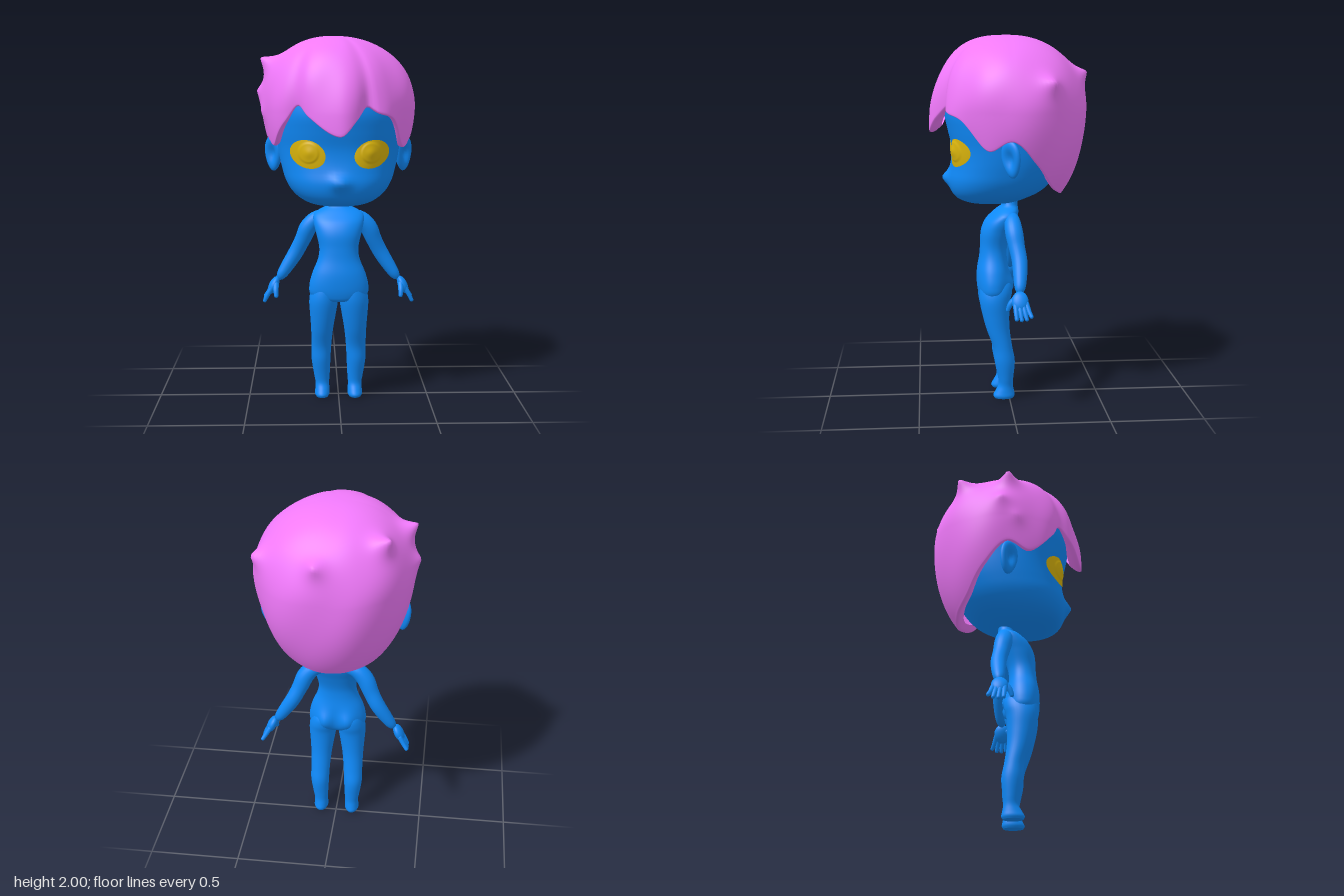
import * as THREE from 'three';
import { mergeVertices } from 'three/addons/utils/BufferGeometryUtils.js';

const material = (color) => new THREE.MeshStandardMaterial({ color, side: THREE.DoubleSide });
const skin = material(0x0f8afa), hairColor = material(0xf27afc), eyeColor = material(0xdcb60c);

// Smooth interpolation of table rows, keyed by their first entry
function sample(rows, v) {
  const n = rows.length;
  let i = 0;
  while (i < n - 2 && v > rows[i + 1][0]) i++;
  const a = rows[i], b = rows[i + 1], p = rows[Math.max(i - 1, 0)], q = rows[Math.min(i + 2, n - 1)];
  const h = b[0] - a[0], t = THREE.MathUtils.clamp((v - a[0]) / h, 0, 1);
  const t2 = t * t, t3 = t2 * t;
  return a.map((_, k) => {
    const m0 = (b[k] - p[k]) / (b[0] - p[0]), m1 = (q[k] - a[k]) / (q[0] - a[0]);
    return (2 * t3 - 3 * t2 + 1) * a[k] + (t3 - 2 * t2 + t) * h * m0
      + (3 * t2 - 2 * t3) * b[k] + (t3 - t2) * h * m1;
  });
}

// Weld seams and shade smoothly
function smooth(geo) {
  geo.deleteAttribute('uv');
  geo.deleteAttribute('normal');
  const welded = mergeVertices(geo, 1e-5);
  welded.computeVertexNormals();
  return welded;
}

// Surface from a rule: u runs upward, v runs around from +z towards +x
function surface(nu, nv, rule) {
  const pos = [], index = [];
  for (let i = 0; i <= nu; i++) for (let j = 0; j <= nv; j++) pos.push(...rule(i / nu, (j % nv) / nv));
  for (let i = 0; i < nu; i++) for (let j = 0; j < nv; j++) {
    const a = i * (nv + 1) + j, c = a + nv + 1;
    index.push(a, a + 1, c, a + 1, c + 1, c);
  }
  const geo = new THREE.BufferGeometry();
  geo.setAttribute('position', new THREE.Float32BufferAttribute(pos, 3));
  geo.setIndex(index);
  return smooth(geo);
}

const signedPow = (v, e) => Math.sign(v) * Math.abs(v) ** e;

// Stacked horizontal sections: [y, centre x, half width, front z, back z]
function loft(rows, nu, nv, exponent = 2, relief = () => 0) {
  const y0 = rows[0][0], y1 = rows[rows.length - 1][0];
  return surface(nu, nv, (u, v) => {
    const y = y0 + (y1 - y0) * (0.5 - 0.5 * Math.cos(Math.PI * u)), a = v * Math.PI * 2;
    const [, cx, w, zf, zb] = sample(rows, y);
    const closed = u === 0 || u === 1 ? 0 : 1, e = 2 / exponent;
    const x = cx + closed * w * signedPow(Math.sin(a), e);
    const z = (zf + zb) / 2 + closed * (zf - zb) / 2 * signedPow(Math.cos(a), e);
    return [x, y, z + closed * relief(x, y, Math.cos(a))];
  });
}

// Tube of changing thickness with rounded ends
function limb(points, radii, sides = 16) {
  const curve = new THREE.CatmullRomCurve3(points.map((p) => new THREE.Vector3(...p)));
  const n = 32, geo = new THREE.TubeGeometry(curve, n, 1, sides);
  const pos = geo.attributes.position, nor = geo.attributes.normal;
  const table = radii.map((r, i) => [i / (radii.length - 1), r]), p = new THREE.Vector3();
  for (let i = 0; i < pos.count; i++) {
    const u = Math.floor(i / (sides + 1)) / n;
    const end = Math.sqrt(Math.max(0, 1 - Math.max(0, 1 - Math.min(u, 1 - u) / 0.1) ** 2));
    curve.getPointAt(u, p);
    p.addScaledVector(new THREE.Vector3().fromBufferAttribute(nor, i), sample(table, u)[1] * end);
    pos.setXYZ(i, p.x, p.y, p.z);
  }
  return smooth(geo);
}

const HEAD = [[1.1, 0, 0.07, 0.18, 0.03], [1.107, 0, 0.13, 0.225, -0.03], [1.13, 0, 0.19, 0.28, -0.1],
  [1.17, 0, 0.245, 0.312, -0.18], [1.23, 0, 0.285, 0.325, -0.24], [1.3, 0, 0.308, 0.315, -0.28],
  [1.36, 0, 0.322, 0.308, -0.3], [1.42, 0, 0.332, 0.31, -0.31], [1.5, 0, 0.342, 0.328, -0.32],
  [1.6, 0, 0.345, 0.345, -0.32], [1.7, 0, 0.33, 0.32, -0.3], [1.8, 0, 0.27, 0.24, -0.24], [1.9, 0, 0.1, 0.08, -0.1]];
const nose = (x, y, front) => Math.max(0, front) * 0.034 * Math.exp(-((x / 0.05) ** 2) - ((y - 1.24) / 0.038) ** 2);
function faceZ(x, y) {
  const [, , w, zf, zb] = sample(HEAD, y);
  return (zf + zb) / 2 + (zf - zb) / 2 * (1 - Math.abs(x / w) ** 2.3) ** (1 / 2.3);
}

const TORSO = [[0.565, 0, 0.06, 0.13, 0.04], [0.575, 0, 0.11, 0.155, 0.02], [0.6, 0, 0.154, 0.167, 0.005],
  [0.65, 0, 0.162, 0.174, 0.0], [0.72, 0, 0.146, 0.173, 0.0], [0.8, 0, 0.114, 0.16, 0.008],
  [0.86, 0, 0.107, 0.155, 0.005], [0.94, 0, 0.124, 0.15, -0.02], [1.0, 0, 0.138, 0.125, -0.045],
  [1.04, 0, 0.135, 0.085, -0.055], [1.062, 0, 0.105, 0.06, -0.055], [1.082, 0, 0.066, 0.038, -0.052], [1.15, 0, 0.054, 0.03, -0.05]];
const buttocks = (x, y, front) => Math.max(0, -front) ** 0.5 * -0.034
  * Math.exp(-(((Math.abs(x) - 0.07) / 0.05) ** 2) - ((y - 0.645) / 0.06) ** 2);
const LEG = [[0.005, 0.092, 0.034, 0.082, -0.022], [0.02, 0.092, 0.041, 0.09, -0.03], [0.045, 0.091, 0.04, 0.078, -0.026],
  [0.08, 0.091, 0.038, 0.06, -0.02], [0.12, 0.093, 0.043, 0.062, -0.022], [0.22, 0.098, 0.053, 0.082, -0.03],
  [0.3, 0.096, 0.055, 0.09, -0.016], [0.4, 0.092, 0.061, 0.125, -0.002], [0.48, 0.088, 0.07, 0.147, 0],
  [0.56, 0.084, 0.079, 0.163, -0.005], [0.61, 0.08, 0.077, 0.164, -0.016], [0.66, 0.075, 0.064, 0.155, -0.012], [0.72, 0.065, 0.04, 0.13, 0.03]];

// Hair by azimuth in degrees: [angle, rim height, rim radius, crown radius]
const RIM = [[-25, 1.56, 0.39, 0.395], [0, 1.49, 0.428, 0.4], [12, 1.57, 0.4, 0.4], [23, 1.64, 0.37, 0.385],
  [30, 1.61, 0.4, 0.395], [47, 1.57, 0.385, 0.4], [69, 1.42, 0.385, 0.425], [90, 1.47, 0.4, 0.445], [110, 1.35, 0.405, 0.45],
  [132, 1.22, 0.41, 0.445], [160, 1.165, 0.42, 0.428], [180, 1.155, 0.42, 0.42], [200, 1.165, 0.42, 0.425],
  [228, 1.22, 0.41, 0.425], [250, 1.35, 0.405, 0.42], [270, 1.47, 0.4, 0.42], [291, 1.43, 0.385, 0.41],
  [312, 1.56, 0.385, 0.395], [323, 1.645, 0.37, 0.385], [335, 1.59, 0.39, 0.395], [360, 1.49, 0.428, 0.4], [372, 1.57, 0.4, 0.4]];
// Hair tufts: tip x, y, z and height
const TUFTS = [[-0.41, 1.88, 0.01, 0.08], [-0.44, 1.71, -0.03, 0.03], [-0.3, 1.91, -0.27, 0.08],
  [0.415, 1.77, -0.215, 0.05], [0.06, 1.805, -0.41, 0.05], [-0.43, 1.6, 0.06, 0.015]];

function hairGeometry() {
  const center = new THREE.Vector3(0, 1.6, 0);
  const tufts = TUFTS.map(([x, y, z, h]) => ({ dir: new THREE.Vector3(x, y, z).sub(center).normalize(), h }));
  return surface(90, 160, (u, v) => {
    const a = v * Math.PI * 2, [, rimY, rimR, crownR] = sample(RIM, v * 360);
    const tuck = Math.max(0, 1 - u / 0.1), s = Math.min(1, (1 - u) / 0.9);
    const endPhi = Math.acos((rimY - 1.6) / (rimY > 1.6 ? 0.4 : 0.6));
    const phi = endPhi * s, c = Math.cos(phi), front = Math.max(0, Math.cos(a));
    const locks = 0.007 * Math.sin(a * 11) * s * s * front + 0.004 * Math.sin(a * 7 + phi * 5) * Math.sin(phi) ** 2;
    const r = (THREE.MathUtils.lerp(crownR, rimR, s ** 4) + locks) * Math.sin(phi) ** (0.92 - 0.22 * front) * (1 - 0.16 * tuck ** 1.5);
    const p = new THREE.Vector3(r * Math.sin(a) - 0.03 * (1 - s), 1.6 + c * (c > 0 ? 0.4 : 0.6), r * Math.cos(a));
    p.y += 0.03 * tuck * tuck - 0.012 * Math.sin(Math.PI * tuck);
    const d = p.clone().sub(center).normalize();
    for (const t of tufts) p.addScaledVector(t.dir, t.h * Math.exp(-((d.distanceTo(t.dir) / 0.11) ** 1.4)));
    return p.toArray();
  });
}

// Eye laid over the face, with a softly raised iris
function eyeGeometry(side) {
  return surface(24, 48, (u, v) => {
    const r = 1 - u, a = side * v * Math.PI * 2;
    const dx = r * 0.093 * Math.sin(a), dy = r * 0.074 * Math.cos(a) + 0.012 * dx / 0.093;
    const x = 0.168 + dx, y = 1.388 + dy, iris = Math.hypot(dx + 0.004, dy - 0.008);
    const raised = 0.004 * (1 - THREE.MathUtils.smoothstep(iris, 0.045, 0.06)) + 0.008 * Math.exp(-((iris / 0.03) ** 2));
    return [side * x, y, faceZ(x, y) + 0.006 + 0.012 * (1 - r * r) + raised];
  });
}

// Ear shell with a hollow on its outer face
function earGeometry() {
  const geo = new THREE.SphereGeometry(1, 32, 24), p = geo.attributes.position;
  for (let i = 0; i < p.count; i++) {
    const x = p.getX(i), y = p.getY(i), z = p.getZ(i);
    const hollow = x > 0 ? 1.1 * Math.exp(-4 * (y * y + z * z)) : 0;
    p.setXYZ(i, (x - hollow) * 0.028, y * 0.098, z * (0.06 + 0.012 * y));
  }
  return smooth(geo);
}

export function createModel() {
  const model = new THREE.Group();
  const add = (parent, name, geo, mat = skin) => {
    const mesh = new THREE.Mesh(geo, mat);
    mesh.name = name;
    parent.add(mesh);
    return mesh;
  };
  add(model, 'head', loft(HEAD, 64, 96, 2.3, nose));
  add(model, 'hair', hairGeometry(), hairColor);
  add(model, 'torso', loft(TORSO, 72, 64, 2.2, buttocks));

  for (const side of [1, -1]) {
    const half = new THREE.Group();
    half.name = side > 0 ? 'leftSide' : 'rightSide';
    model.add(half);
    const m = (points) => points.map(([x, y, z]) => [side * x, y, z]);
    add(half, 'eye', eyeGeometry(side), eyeColor);

    const ear = add(half, 'ear', earGeometry());
    ear.position.set(side * 0.355, 1.372, 0.012);
    ear.rotation.set(0.12, side > 0 ? -0.8 : Math.PI + 0.8, 0);

    add(half, 'leg', loft(LEG.map(([y, x, ...rest]) => [y, side * x, ...rest]), 64, 32));

    // Arm and hand
    add(half, 'arm', limb(m([[0.03, 1.02, -0.005], [0.11, 1.012, -0.012], [0.162, 0.965, -0.018], [0.197, 0.89, -0.03], [0.235, 0.815, -0.043],
      [0.285, 0.735, -0.042], [0.338, 0.655, -0.035]]), [0.03, 0.043, 0.048, 0.043, 0.041, 0.035, 0.024], 24));
    const palm = add(half, 'palm', new THREE.SphereGeometry(1, 24, 16));
    palm.scale.set(0.026, 0.054, 0.044);
    palm.position.set(side * 0.362, 0.627, -0.035);
    palm.rotation.z = side * 0.45;
    for (let i = 0; i < 4; i++) {
      const z = -0.008 - 0.019 * i, spread = -0.006 - 0.008 * i, drop = [0.004, 0, 0.003, 0.018][i];
      add(half, 'finger', limb(m([[0.365, 0.625, z], [0.394, 0.578, z + spread * 0.5], [0.416, 0.53 + drop, z + spread]]),
        [0.014, 0.013, 0.01], 10));
    }
    add(half, 'thumb', limb(m([[0.348, 0.645, -0.015], [0.348, 0.61, 0.015], [0.345, 0.568, 0.032]]), [0.017, 0.015, 0.01], 10));
  }
  return model;
}
